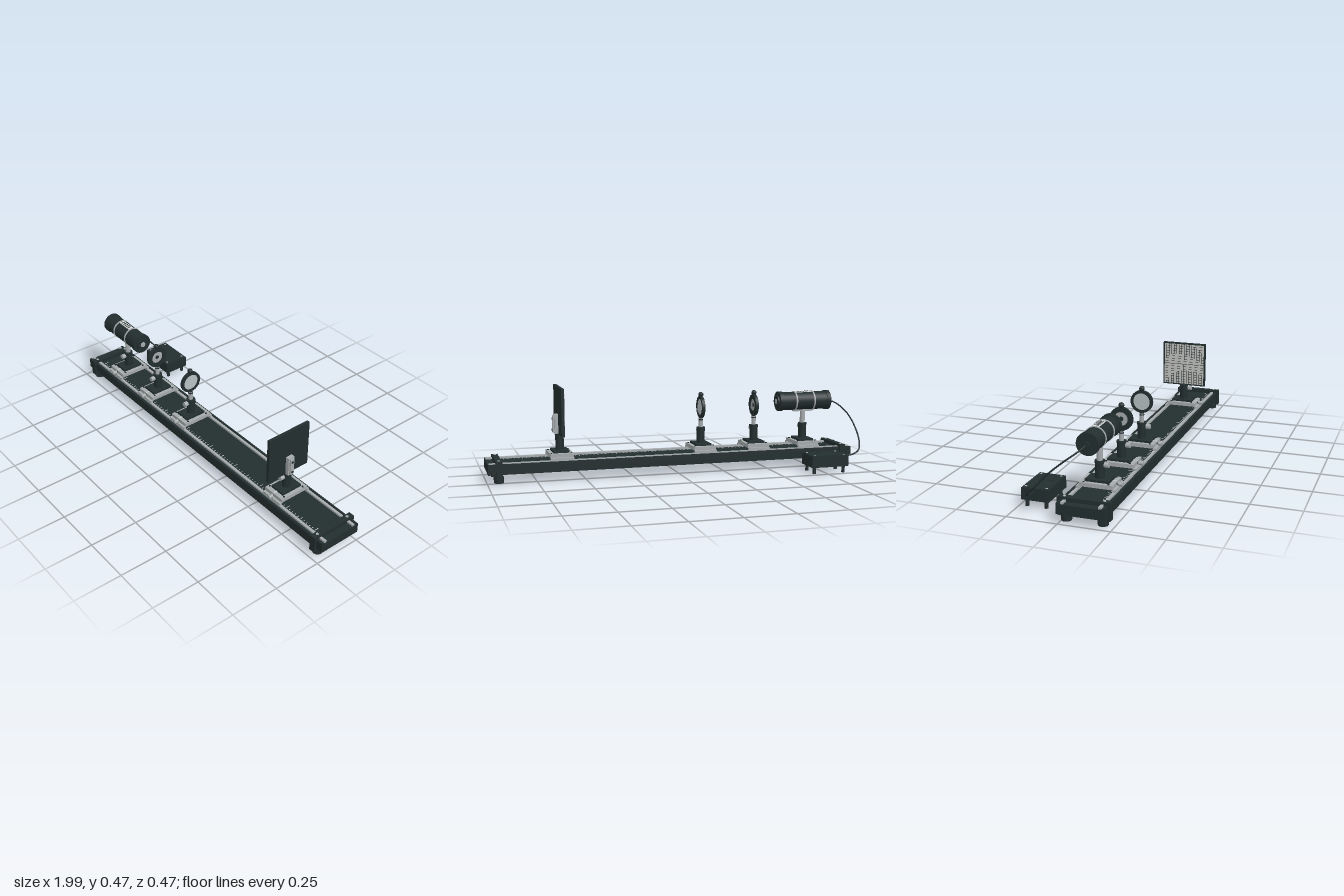
import * as THREE from 'three';

const mat = (name, color, side = THREE.FrontSide) => {
  const m = new THREE.MeshStandardMaterial({ color, side });
  m.name = name;
  return m;
};

export function createModel() {
  const dark = mat('dark enamel', 0x232e2f);
  const metal = mat('brushed metal', 0xa6abad);
  const white = mat('scale white', 0xdadcda);
  const paper = mat('screen paper', 0xc4c5c1);
  const glass = mat('lens glass', 0xb9c1c3);
  const ZC = 0.107; // centre line of the bench
  const root = new THREE.Group();
  root.name = 'opticalBench';

  const add = (parent, name, geo, m, x = 0, y = 0, z = 0) => {
    const mesh = new THREE.Mesh(geo, m);
    mesh.name = name;
    mesh.position.set(x, y, z);
    parent.add(mesh);
    return mesh;
  };
  const box = (p, name, m, w, h, d, x, y, z) => add(p, name, new THREE.BoxGeometry(w, h, d), m, x, y, z);
  const cyl = (p, name, m, r, len, x, y, z, axis = 'y', r2 = r) => {
    const g = new THREE.CylinderGeometry(r, r2, len, 32);
    if (axis === 'x') g.rotateZ(-Math.PI / 2);
    if (axis === 'z') g.rotateX(Math.PI / 2);
    return add(p, name, g, m, x, y, z);
  };
  const group = (name, x = 0, y = 0, z = 0) => {
    const g = new THREE.Group();
    g.name = name;
    g.position.set(x, y, z);
    root.add(g);
    return g;
  };

  // Bench beam, rails, end clamps and feet
  const bench = group('bench', 0, 0, ZC);
  box(bench, 'beam', dark, 1.99, 0.047, 0.23, 0, 0.069, 0);
  for (const s of [-1, 1]) {
    box(bench, 'rail', metal, 1.98, 0.01, 0.014, 0, 0.097, s * 0.089);
    box(bench, 'railLip', dark, 1.99, 0.007, 0.01, 0, 0.095, s * 0.109);
    box(bench, 'endClamp', dark, 0.032, 0.087, 0.252, s * 0.94, 0.0685, 0);
    for (const t of [-1, 1]) {
      cyl(bench, 'foot', dark, 0.026, 0.026, s * 0.94, 0.018, t * 0.087);
      cyl(bench, 'footPad', dark, 0.024, 0.006, s * 0.94, 0.003, t * 0.087);
      cyl(bench, 'clampBolt', metal, 0.007, 0.004, s * 0.94, 0.113, t * 0.095);
    }
  }

  // Graduated scale
  for (let i = 0; i <= 90; i++) {
    const len = i % 10 === 0 ? 0.022 : i % 5 === 0 ? 0.015 : 0.008;
    box(bench, 'scaleTick', white, 0.0025, 0.002, len, -0.9 + i * 0.02, 0.093, 0.072 - len / 2);
  }

  // Sliding carriage with post, shared by all four mounts
  const carriage = (name, x) => {
    const g = group(name, x, 0, ZC);
    box(g, 'carriagePlate', metal, 0.122, 0.02, 0.164, 0, 0.122, 0);
    for (const s of [-1, 1]) {
      box(g, 'carriageRunner', metal, 0.122, 0.012, 0.014, 0, 0.107, s * 0.088);
      cyl(g, 'plateScrew', dark, 0.005, 0.004, s * 0.052, 0.133, 0.06);
      cyl(g, 'plateScrew', dark, 0.005, 0.004, s * 0.052, 0.133, -0.06);
    }
    box(g, 'topPlate', dark, 0.084, 0.011, 0.118, 0, 0.1375, 0);
    cyl(g, 'post', dark, 0.022, 0.083, 0, 0.184, 0);
    cyl(g, 'postCollar', dark, 0.024, 0.012, 0, 0.221, 0);
    cyl(g, 'clampShaft', dark, 0.005, 0.02, 0, 0.122, 0.088, 'z');
    cyl(g, 'clampKnob', metal, 0.01, 0.024, 0, 0.122, 0.1, 'z');
    cyl(g, 'postScrew', metal, 0.013, 0.022, 0, 0.206, 0.034, 'z');
    box(g, 'pointer', white, 0.004, 0.003, 0.024, 0, 0.1335, 0.07);
    return g;
  };

  // Lamp housing
  const lamp = carriage('lamp', -0.75);
  cyl(lamp, 'lampStem', metal, 0.014, 0.08, 0, 0.265, 0);
  box(lamp, 'lampSaddle', metal, 0.1, 0.01, 0.03, 0, 0.297, 0);
  cyl(lamp, 'lampBody', dark, 0.05, 0.29, 0, 0.35, 0, 'x');
  for (const s of [-1, 1]) {
    cyl(lamp, 'lampCap', dark, 0.054, 0.022, s * 0.139, 0.35, 0, 'x');
    cyl(lamp, 'lampBand', metal, 0.0535, 0.008, s * 0.053, 0.35, 0, 'x');
    box(lamp, 'bandClip', metal, 0.012, 0.01, 0.016, s * 0.053, 0.297, 0);
  }
  cyl(lamp, 'lampNose', dark, 0.034, 0.01, 0.154, 0.35, 0, 'x');
  cyl(lamp, 'lampWindow', metal, 0.015, 0.003, 0.159, 0.35, 0, 'x');
  cyl(lamp, 'cableGland', dark, 0.012, 0.014, -0.155, 0.35, 0, 'x');
  // Plate and vent slots on top of the housing
  box(lamp, 'topLabel', white, 0.09, 0.004, 0.03, 0, 0.3995, 0);
  for (let i = 0; i < 5; i++) {
    box(lamp, 'ventSlot', dark, 0.006, 0.002, 0.02, -0.03 + i * 0.015, 0.4018, 0);
  }

  // Ring holders: iris and lens
  const ringHolder = (name, x, inner, paneRadius, paneMat) => {
    const g = carriage(name, x);
    cyl(g, 'holderStem', metal, 0.012, 0.05, 0, 0.25, 0);
    cyl(g, 'stemCap', dark, 0.01, 0.02, 0, 0.274, 0, 'y', 0.013);
    const shape = new THREE.Shape().absarc(0, 0, 0.058, 0, Math.PI * 2);
    shape.holes.push(new THREE.Path().absarc(0, 0, inner, 0, Math.PI * 2, true));
    const geo = new THREE.ExtrudeGeometry(shape, { depth: 0.016, bevelEnabled: false, curveSegments: 28 });
    geo.translate(0, 0, -0.008).rotateY(Math.PI / 2);
    add(g, 'holderRing', geo, dark, 0, 0.336, 0);
    cyl(g, 'pane', paneMat, paneRadius, 0.007, 0, 0.336, 0, 'x');
    add(g, 'topKnob', new THREE.SphereGeometry(0.014, 20, 14), dark, 0, 0.403, 0);
    return g;
  };
  const iris = ringHolder('irisHolder', -0.46, 0.034, 0.036, metal);
  cyl(iris, 'irisOpening', dark, 0.011, 0.009, 0, 0.336, 0, 'x');
  ringHolder('lensHolder', -0.155, 0.044, 0.046, glass);

  // Viewing screen with ruled face
  const screen = carriage('screenMount', 0.615);
  box(screen, 'screenPanel', dark, 0.016, 0.247, 0.248, 0, 0.3465, 0);
  box(screen, 'screenFace', paper, 0.002, 0.232, 0.232, -0.0088, 0.3465, 0);
  for (let i = -7; i <= 7; i++) {
    const w = i === 0 ? 0.0024 : 0.0013;
    box(screen, 'gridLine', dark, 0.001, w, 0.23, -0.0098, 0.3465 + i * 0.015, 0);
    box(screen, 'gridLine', dark, 0.001, 0.23, w, -0.0098, 0.3465, i * 0.015);
  }
  box(screen, 'bracket', metal, 0.02, 0.101, 0.036, 0.018, 0.2775, 0);
  box(screen, 'bracketFoot', metal, 0.012, 0.09, 0.022, 0.03, 0.2775, 0);
  for (const y of [0.247, 0.305]) cyl(screen, 'bracketScrew', dark, 0.006, 0.004, 0.037, y, 0, 'x');

  // Power supply box
  const supply = group('powerSupply', -0.767, 0, -0.166);
  box(supply, 'supplyCase', dark, 0.206, 0.058, 0.137, 0, 0.064, 0);
  box(supply, 'supplyLid', dark, 0.198, 0.003, 0.129, 0, 0.0945, 0);
  box(supply, 'supplySwitch', dark, 0.024, 0.005, 0.018, 0.02, 0.097, 0.03);
  for (const s of [-1, 1]) for (const t of [-1, 1]) {
    cyl(supply, 'supplyFoot', dark, 0.009, 0.036, s * 0.083, 0.018, t * 0.048);
    cyl(supply, 'lidScrew', metal, 0.006, 0.002, s * 0.083, 0.0965, t * 0.052);
  }

  // Cable from lamp to supply
  const path = new THREE.CatmullRomCurve3([
    [-0.9, 0.35, ZC], [-0.945, 0.33, 0.085], [-0.98, 0.285, 0.025], [-0.993, 0.22, -0.05],
    [-0.99, 0.15, -0.115], [-0.965, 0.105, -0.16], [-0.92, 0.085, -0.174], [-0.865, 0.08, -0.17],
  ].map(p => new THREE.Vector3(...p)));
  add(root, 'cable', new THREE.TubeGeometry(path, 60, 0.004, 10), dark);

  return root;
}
